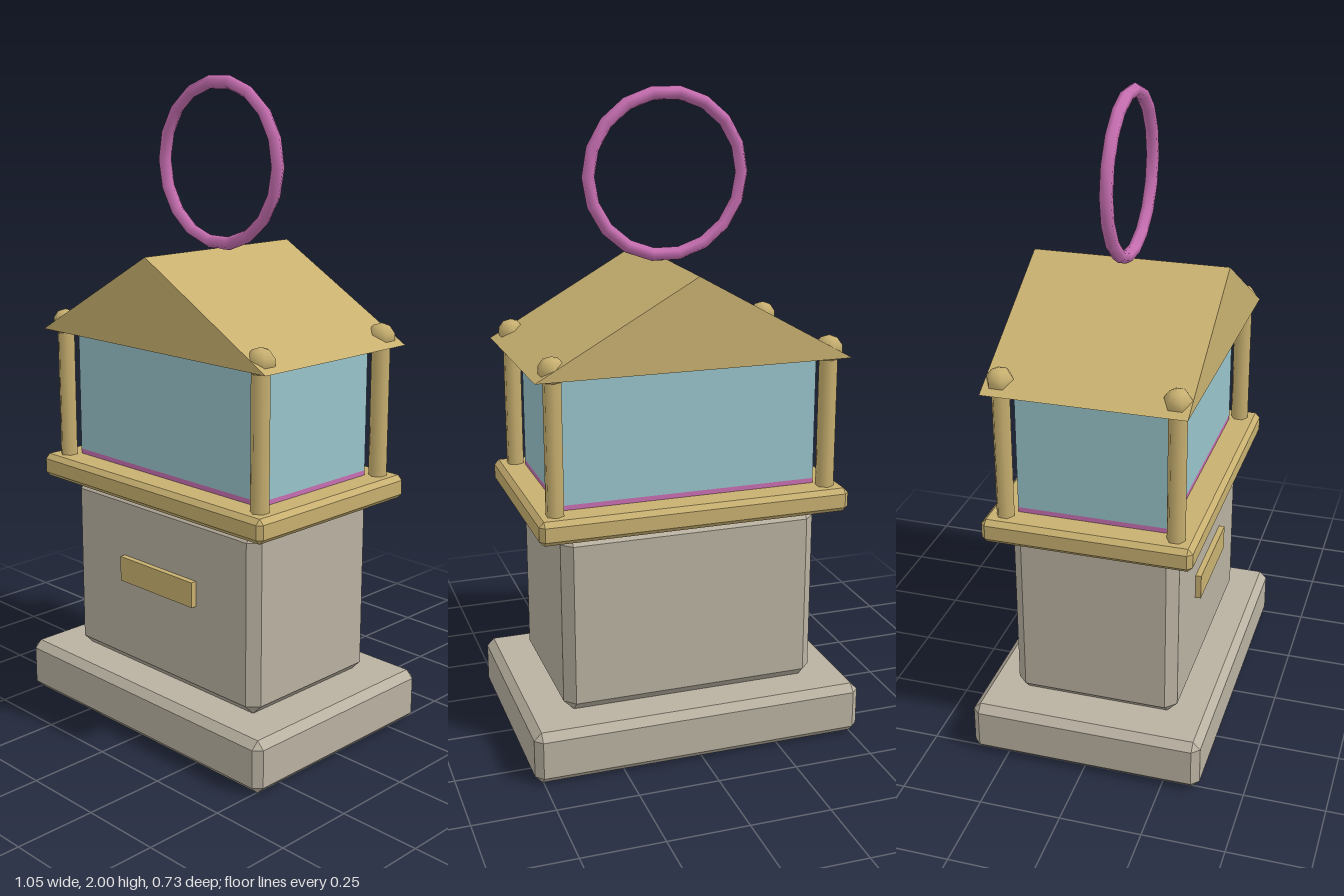
import * as THREE from 'three';
import { ConvexGeometry } from 'three/addons/geometries/ConvexGeometry.js';

const makeMaterial = (name, color) => {
  const m = new THREE.MeshStandardMaterial({ color });
  m.name = name;
  return m;
};

// Box with every edge and corner cut by a flat chamfer c; w, h, d are half sizes
function chamferBox(w, h, d, c) {
  const points = [];
  for (const x of [-1, 1]) for (const y of [-1, 1]) for (const z of [-1, 1]) {
    points.push(
      new THREE.Vector3(x * w, y * (h - c), z * (d - c)),
      new THREE.Vector3(x * (w - c), y * h, z * (d - c)),
      new THREE.Vector3(x * (w - c), y * (h - c), z * d)
    );
  }
  return new ConvexGeometry(points);
}

export function createModel() {
  const group = new THREE.Group();
  group.name = 'shrineLantern';

  const stone = makeMaterial('stone', 0xb9b1a1);
  const gold = makeMaterial('gold', 0xc8b070);
  const glass = makeMaterial('glass', 0x98c4ca);
  const pink = makeMaterial('pink', 0xc86fb2);

  const add = (name, geometry, material, x = 0, y = 0, z = 0) => {
    const mesh = new THREE.Mesh(geometry, material);
    mesh.name = name;
    mesh.position.set(x, y, z);
    group.add(mesh);
    return mesh;
  };

  // Stone plinth and pedestal
  add('plinth', chamferBox(0.525, 0.082, 0.364, 0.023), stone, 0, 0.082, 0);
  add('pedestal', chamferBox(0.404, 0.286, 0.258, 0.032), stone, 0, 0.449, 0);
  add('frontPlaque', new THREE.BoxGeometry(0.324, 0.08, 0.04), gold, 0, 0.49, 0.256);

  // Tray, floor and glass case
  add('tray', chamferBox(0.485, 0.037, 0.321, 0.015), gold, 0, 0.773, 0);
  add('caseFloor', new THREE.BoxGeometry(0.8, 0.016, 0.46), pink, 0, 0.817, 0);
  add('glassCase', new THREE.BoxGeometry(0.8, 0.38, 0.46), glass, 0, 1.015, 0);

  // Corner posts with finials
  const postGeometry = new THREE.CylinderGeometry(0.028, 0.028, 0.42, 6);
  const finialGeometry = new THREE.SphereGeometry(0.043, 6, 5).rotateY(Math.PI / 2);
  for (const x of [-0.426, 0.426]) for (const z of [-0.26, 0.26]) {
    add('cornerPost', postGeometry, gold, x, 1.015, z);
    add('finial', finialGeometry, gold, x, 1.24, z);
  }

  // Gable roof
  const gable = new THREE.Shape();
  gable.moveTo(-0.485, 1.217);
  gable.lineTo(0.485, 1.217);
  gable.lineTo(0, 1.491);
  gable.closePath();
  add('gableRoof', new THREE.ExtrudeGeometry(gable, { depth: 0.604, bevelEnabled: false }), gold, 0, 0, -0.302);

  // Carrying ring
  add('carryRing', new THREE.TorusGeometry(0.24, 0.02, 6, 18), pink, 0, 1.744, 0);

  return group;
}
